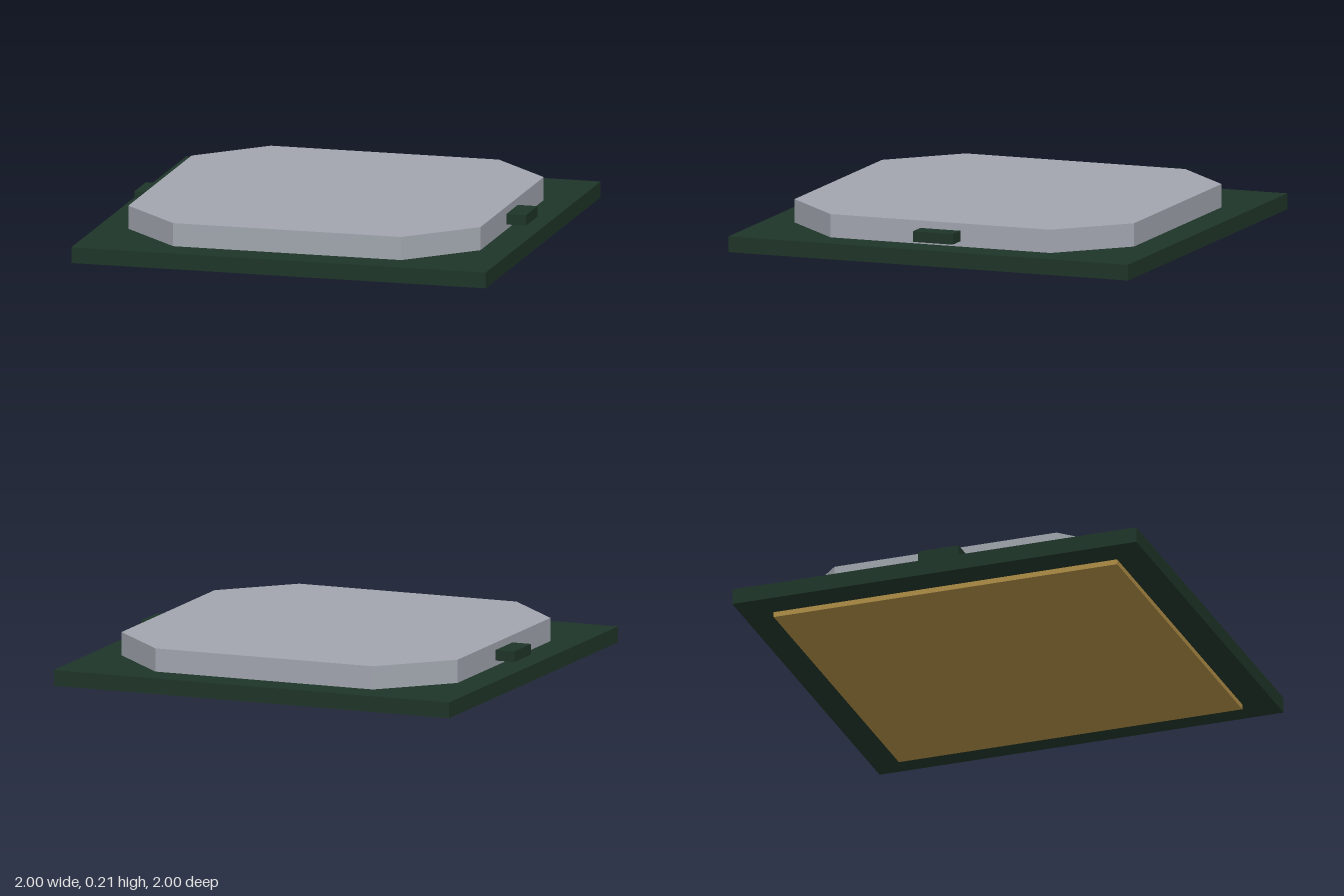
import * as THREE from 'three';

const HALF = 0.85; // half width of the lid and contact pad
const CUT = 0.55; // where the lid's corner chamfers begin

export function createModel() {
  const model = new THREE.Group();
  model.name = 'processorChip';

  const green = new THREE.MeshStandardMaterial({ color: 0x1f3528 });
  const silver = new THREE.MeshStandardMaterial({ color: 0xa1a5ae });
  const gold = new THREE.MeshStandardMaterial({ color: 0xb08d45 });

  const add = (name, geometry, material, x, y) => {
    const mesh = new THREE.Mesh(geometry, material);
    mesh.name = name;
    mesh.position.set(x, y, 0);
    model.add(mesh);
  };

  // Gold contact pad under the board
  add('contactPad', new THREE.BoxGeometry(2 * HALF, 0.025, 2 * HALF), gold, 0, 0.0125);

  // Square circuit board
  add('circuitBoard', new THREE.BoxGeometry(2, 0.075, 2), green, 0, 0.0625);

  // Metal lid with chamfered corners
  const outline = new THREE.Shape([
    [HALF, -CUT], [HALF, CUT], [CUT, HALF], [-CUT, HALF],
    [-HALF, CUT], [-HALF, -CUT], [-CUT, -HALF], [CUT, -HALF],
  ].map(([x, y]) => new THREE.Vector2(x, y)));
  const lid = new THREE.ExtrudeGeometry(outline, { depth: 0.11, bevelEnabled: false });
  lid.rotateX(-Math.PI / 2);
  add('heatSpreaderLid', lid, silver, 0, 0.1);

  // Small tabs on both sides of the lid
  for (const [name, side] of [['leftTab', 1], ['rightTab', -1]]) {
    add(name, new THREE.BoxGeometry(0.105, 0.05, 0.2), green, side * 0.8925, 0.15);
  }

  return model;
}
